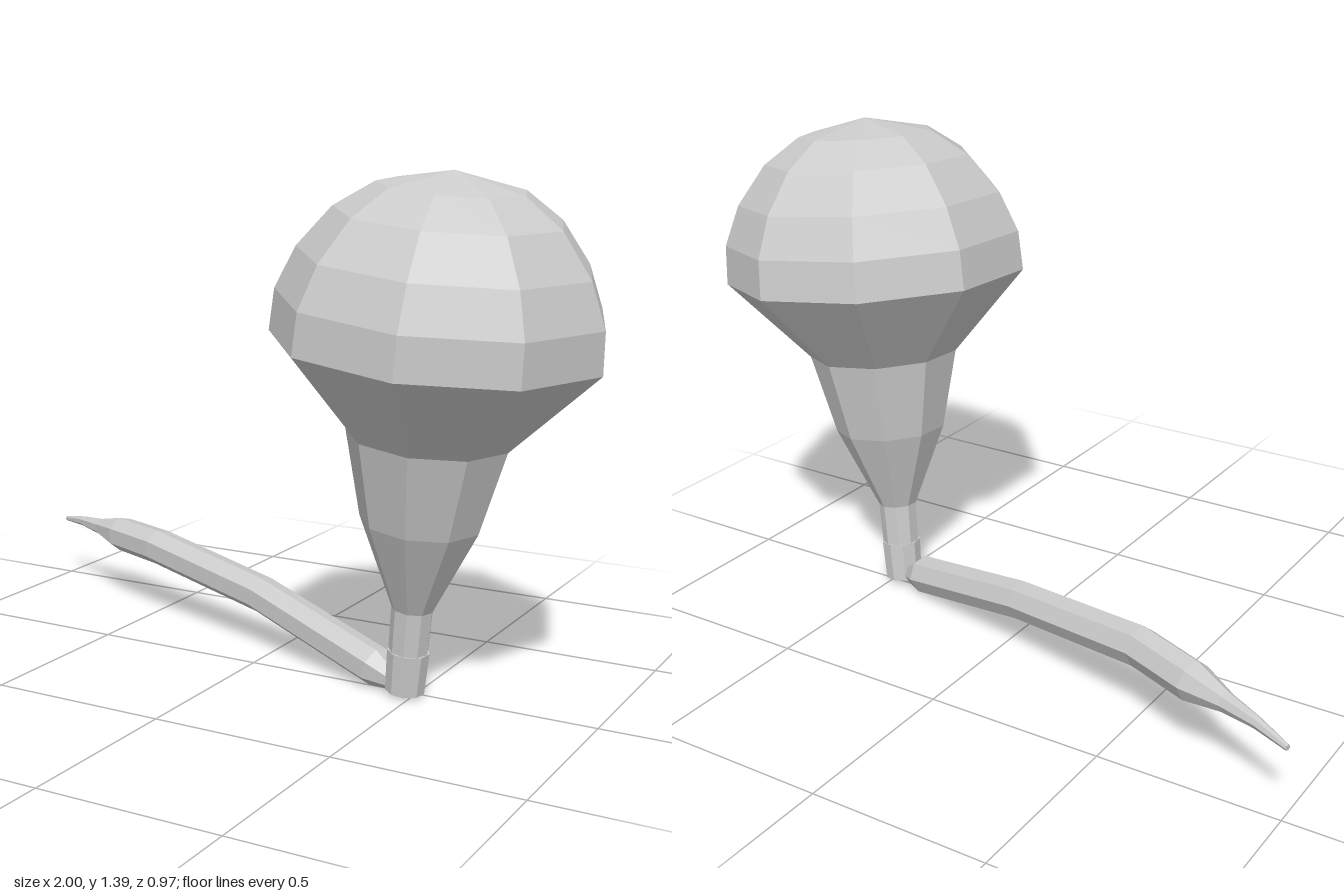
import * as THREE from 'three';

const material = () => new THREE.MeshStandardMaterial({ color: 0xcccccc, flatShading: true });

// Faceted body of revolution from [radius, height] pairs, with one corner on +x
function lathe(name, profile, sides, turn = 0) {
  const points = profile.map(([r, y]) => new THREE.Vector2(r, y));
  const mesh = new THREE.Mesh(new THREE.LatheGeometry(points, sides, Math.PI / 2 + turn), material());
  mesh.name = name;
  return mesh;
}

// Faceted tapering tube through [x, y, z, radius] stations, closed at both ends
function taperedTube(name, stations, sides) {
  const centres = stations.map(([x, y, z]) => new THREE.Vector3(x, y, z));
  const up = new THREE.Vector3(0, 1, 0);
  const positions = [];
  const index = [];
  centres.forEach((c, i) => {
    const before = centres[Math.max(i - 1, 0)];
    const after = centres[Math.min(i + 1, centres.length - 1)];
    const along = after.clone().sub(before).normalize();
    const side = along.clone().cross(up).normalize();
    const top = side.clone().cross(along);
    for (let j = 0; j < sides; j++) {
      const a = (j / sides) * Math.PI * 2;
      const p = c.clone()
        .addScaledVector(side, Math.cos(a) * stations[i][3])
        .addScaledVector(top, Math.sin(a) * stations[i][3]);
      positions.push(p.x, p.y, p.z);
      if (i < centres.length - 1) {
        const k = (j + 1) % sides;
        const p0 = i * sides + j, p1 = i * sides + k;
        index.push(p0, p1, p1 + sides, p0, p1 + sides, p0 + sides);
      }
    }
  });
  const last = (centres.length - 1) * sides;
  for (let j = 1; j < sides - 1; j++) {
    index.push(0, j + 1, j, last, last + j, last + j + 1);
  }
  const geometry = new THREE.BufferGeometry();
  geometry.setAttribute('position', new THREE.Float32BufferAttribute(positions, 3));
  geometry.setIndex(index);
  geometry.computeVertexNormals();
  const mat = material();
  mat.side = THREE.DoubleSide;
  const mesh = new THREE.Mesh(geometry, mat);
  mesh.name = name;
  return mesh;
}

export function createModel() {
  const model = new THREE.Group();
  model.name = 'capOnStalk';

  // Leaning upright: stalk foot, then flaring stem and rounded cap
  const upright = new THREE.Group();
  upright.name = 'upright';
  upright.position.set(0.475, 0.016, 0.018);
  upright.quaternion.setFromUnitVectors(
    new THREE.Vector3(0, 1, 0),
    new THREE.Vector3(0.1, 1, 0.048).normalize()
  );
  upright.add(
    lathe('stalkFoot', [[0, 0], [0.053, 0], [0.057, 0.115], [0, 0.115]], 9, 0.2),
    lathe('stemAndCap', [
      [0, 0.1], [0.053, 0.1], [0.056, 0.235], [0.16, 0.475], [0.215, 0.705],
      [0.43, 0.94], [0.423, 1.05], [0.376, 1.162], [0.292, 1.27], [0.19, 1.34], [0, 1.382],
    ], 9)
  );
  model.add(upright);

  // Long runner bending away from the foot to a thin tip
  model.add(taperedTube('runner', [
    [0.49, 0.018, 0.025, 0.006],
    [0.375, 0.056, -0.01, 0.055],
    [-0.06, 0.157, -0.15, 0.054],
    [-0.5, 0.21, -0.28, 0.055],
    [-0.69, 0.208, -0.358, 0.054],
    [-0.8, 0.207, -0.4, 0.027],
    [-0.9, 0.205, -0.44, 0.016],
    [-0.997, 0.193, -0.482, 0.008],
  ], 7));

  return model;
}
